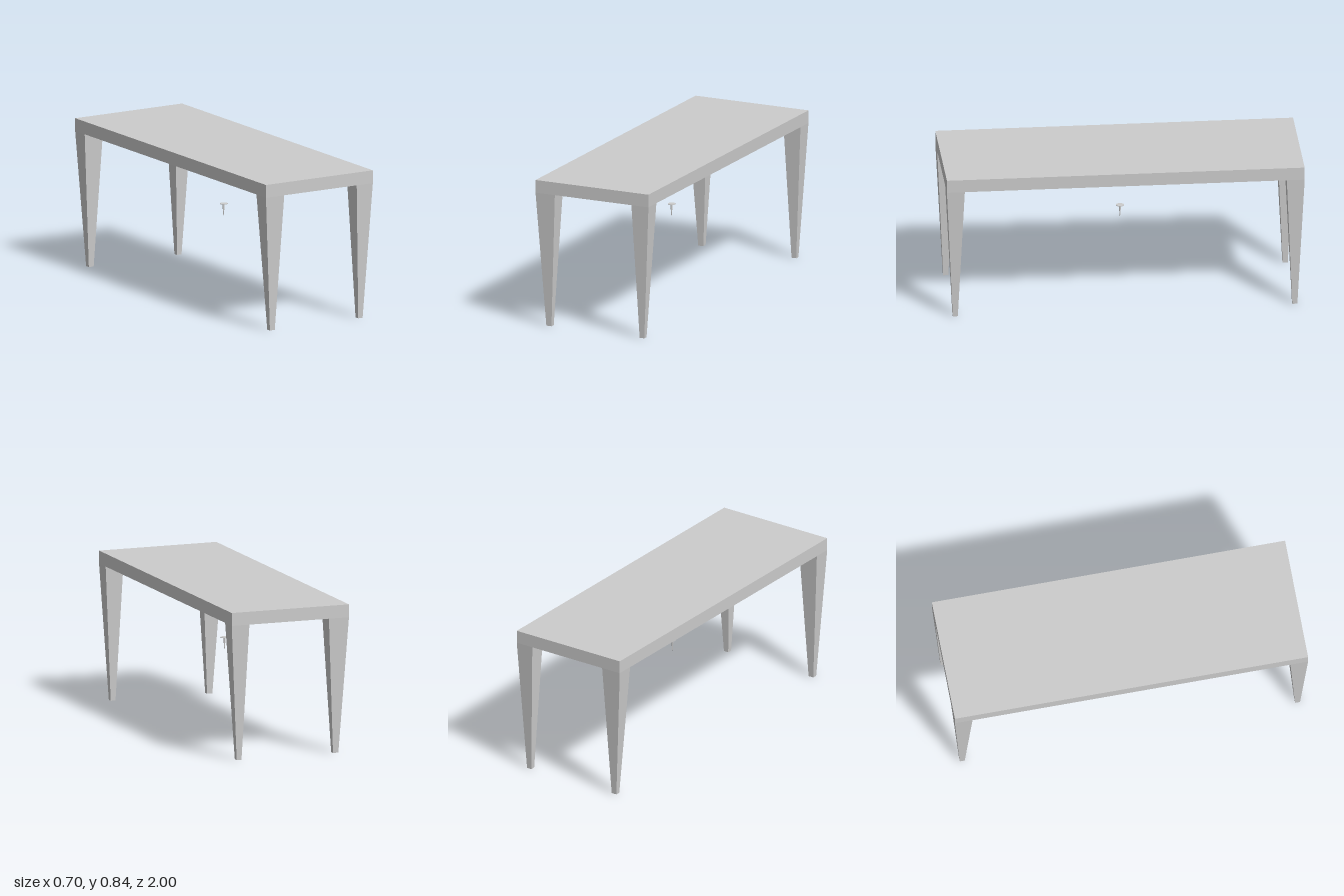
import * as THREE from 'three';

const TOP = 0.843, UNDER = 0.77;

// Box between y0 and y1 with separate [x0, x1, z0, z1] bounds at its bottom and top
function taperedBox(bottom, top, y0, y1) {
  const geometry = new THREE.BoxGeometry(1, 1, 1);
  const p = geometry.attributes.position;
  for (let i = 0; i < p.count; i++) {
    const upper = p.getY(i) > 0;
    const b = upper ? top : bottom;
    p.setXYZ(i, p.getX(i) < 0 ? b[0] : b[1], upper ? y1 : y0, p.getZ(i) < 0 ? b[2] : b[3]);
  }
  geometry.computeVertexNormals();
  return geometry;
}

export function createModel() {
  const group = new THREE.Group();
  const material = new THREE.MeshStandardMaterial({ color: 0xcccccc, flatShading: true });
  const add = (name, geometry, x = 0, y = 0, z = 0, parent = group) => {
    const mesh = new THREE.Mesh(geometry, material);
    mesh.name = name;
    mesh.position.set(x, y, z);
    parent.add(mesh);
    return mesh;
  };

  // Table top
  add('tableTop', new THREE.BoxGeometry(0.702, TOP - UNDER, 2), 0, (TOP + UNDER) / 2, 0);

  // Tapered legs, the right pair slightly wider than the left
  const sides = [
    { name: 'Right', foot: [-0.302, -0.27], head: [-0.351, -0.231] },
    { name: 'Left', foot: [0.278, 0.307], head: [0.245, 0.351] },
  ];
  const ends = [
    { name: 'front', foot: [0.935, 0.963], head: [0.9, 1] },
    { name: 'back', foot: [-0.963, -0.935], head: [-1, -0.9] },
  ];
  for (const s of sides) {
    for (const e of ends) {
      add(`${e.name}${s.name}Leg`,
        taperedBox([...s.foot, ...e.foot], [...s.head, ...e.head], 0, UNDER));
    }
  }

  // Small pin hanging below the top: thin disc with a downward spike
  const pin = new THREE.Group();
  pin.name = 'pin';
  group.add(pin);
  add('pinHead', new THREE.CylinderGeometry(0.022, 0.022, 0.003, 24), -0.001, 0.505, 0, pin);
  add('pinSpike', new THREE.CylinderGeometry(0.007, 0.0005, 0.075, 12), -0.003, 0.466, 0, pin);

  return group;
}
